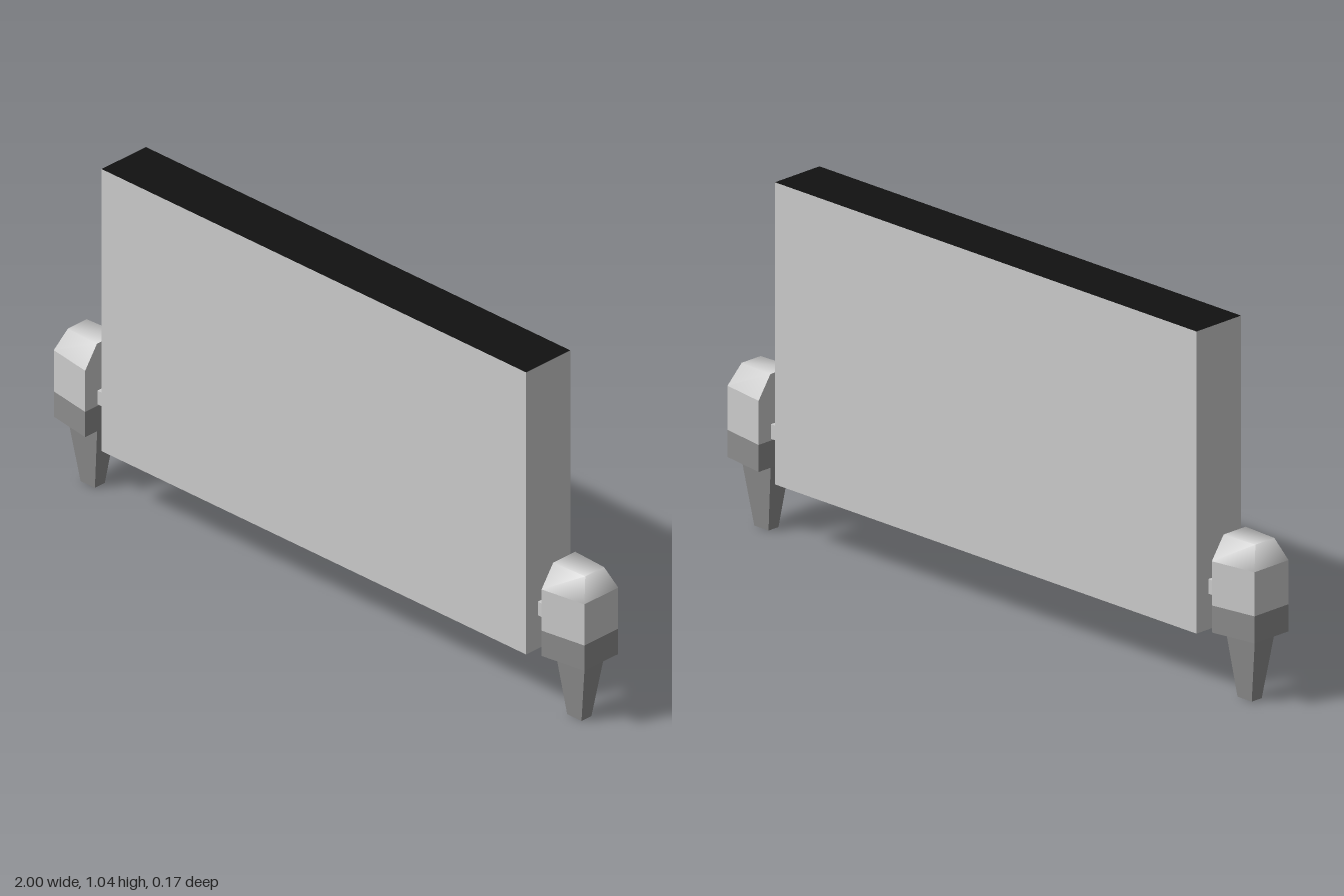
import * as THREE from 'three';
import { toCreasedNormals } from 'three/addons/utils/BufferGeometryUtils.js';

const grey = new THREE.MeshStandardMaterial({ color: 0xcccccc });
const dark = new THREE.MeshStandardMaterial({ color: 0x8c8c8c });
const black = new THREE.MeshStandardMaterial({ color: 0x111111 });

// Solid between two trapezoid sections, each given as [y, xInner, xOuter, zInner, zOuter]
function frustum(bottom, top, crease = 0.01) {
  const points = [bottom, top].flatMap(([y, xi, xo, zi, zo]) =>
    [xi, y, zi, xo, y, zo, xo, y, -zo, xi, y, -zi]);
  const index = [0, 3, 2, 0, 2, 1, 4, 5, 6, 4, 6, 7];
  for (let a = 0; a < 4; a++) {
    const b = (a + 1) % 4;
    index.push(a, b, b + 4, a, b + 4, a + 4);
  }
  const g = new THREE.BufferGeometry();
  g.setAttribute('position', new THREE.Float32BufferAttribute(points, 3));
  g.setIndex(index);
  return toCreasedNormals(g, crease);
}

function add(parent, name, geometry, material) {
  const mesh = new THREE.Mesh(geometry, material);
  mesh.name = name;
  parent.add(mesh);
  return mesh;
}

// Side unit: axle, housing with softened cap, and tapered foot
function createSupport(name) {
  const support = new THREE.Group();
  support.name = name;
  const wall = (y) => [y, 0.86, 1, 0.087, 0.065];

  add(support, 'axle', new THREE.BoxGeometry(0.08, 0.042, 0.08), grey)
    .position.set(0.83, 0.299, 0);
  add(support, 'cap', frustum(wall(0.4), [0.465, 0.86, 0.975, 0.042, 0.036], 1.3), grey);
  add(support, 'upperHousing', frustum(wall(0.273), wall(0.4)), grey);
  add(support, 'lowerHousing', frustum(wall(0.195), wall(0.273)), dark);
  add(support, 'foot', frustum([0, 0.89, 0.944, 0.019, 0.019], [0.195, 0.863, 0.975, 0.038, 0.038]), dark);
  return support;
}

export function createModel() {
  const model = new THREE.Group();
  model.name = 'panelOnSupports';

  // Upright panel with a black top face
  add(model, 'panel', new THREE.BoxGeometry(1.6, 0.87, 0.17),
    [grey, grey, black, grey, grey, grey]).position.y = 0.61;

  // The supports are symmetric front to back, so a half turn mirrors them
  const right = createSupport('rightSupport');
  right.rotation.y = Math.PI;
  model.add(createSupport('leftSupport'), right);
  return model;
}
